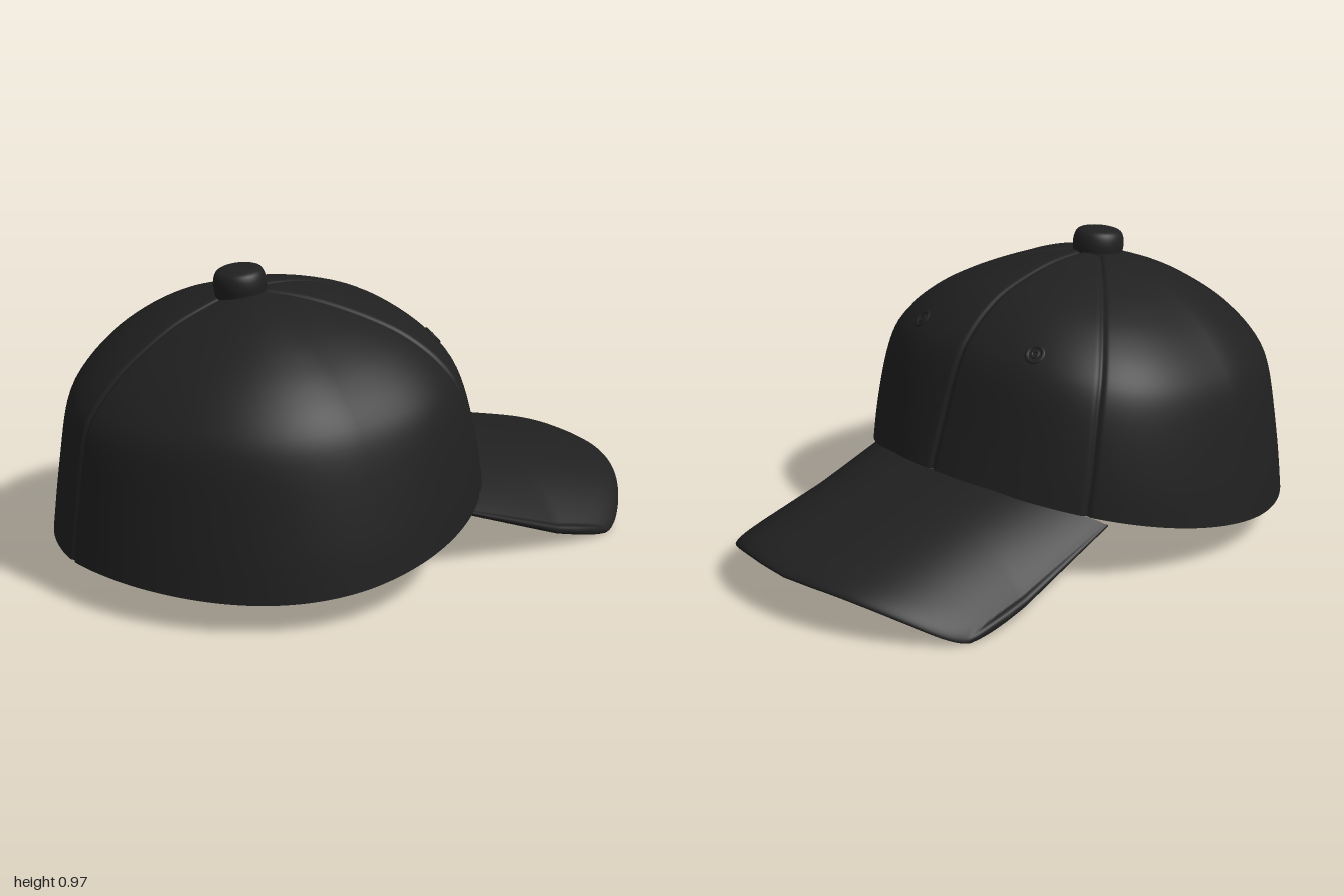
import * as THREE from 'three';

const material = new THREE.MeshStandardMaterial({ color: 0x202020, side: THREE.DoubleSide });
const { lerp, clamp } = THREE.MathUtils;
const SEAMS = [0, 0.78, -0.78, Math.PI, -Math.PI];

const curve = (...pts) => new THREE.SplineCurve(pts.map(p => new THREE.Vector2(...p)));

// Crown outlines from the apex down to the rim
const front = curve([-0.38, 0.905], [-0.28, 0.91], [-0.15, 0.9], [0, 0.865], [0.1, 0.825], [0.2, 0.75], [0.27, 0.655], [0.35, 0.44], [0.39, 0.325]);
const back = curve([-0.38, 0.905], [-0.46, 0.885], [-0.6, 0.835], [-0.7, 0.78], [-0.8, 0.71], [-0.89, 0.62], [-0.94, 0.53], [-0.97, 0.35], [-1, 0.13]);
const side = curve([0, 0.905], [0.1, 0.9], [0.2, 0.88], [0.3, 0.845], [0.4, 0.795], [0.5, 0.725], [0.585, 0.635], [0.635, 0.53], [0.68, 0.3], [0.7, 0.14]);

// Half of the brim's outer edge, from the tip round the corner
const brimEdge = curve([1, 0], [0.985, 0.14], [0.945, 0.28], [0.88, 0.395], [0.79, 0.49], [0.7, 0.535], [0.58, 0.548]);

// Smooth indexed surface from a rule f(u, v), u and v in 0..1
function surface(f, nu, nv, closed) {
  const pos = [], idx = [];
  const rows = closed ? nu : nu + 1;
  for (let i = 0; i < rows; i++)
    for (let j = 0; j <= nv; j++) pos.push(...f(i / nu, j / nv).toArray());
  for (let i = 0; i < nu; i++)
    for (let j = 0; j < nv; j++) {
      const a = i * (nv + 1) + j, b = ((i + 1) % rows) * (nv + 1) + j;
      idx.push(a, b, a + 1, b, b + 1, a + 1);
    }
  const g = new THREE.BufferGeometry();
  g.setAttribute('position', new THREE.Float32BufferAttribute(pos, 3));
  g.setIndex(idx);
  g.computeVertexNormals();
  return g;
}

// Point on the crown at an angle (0 = over the brim) and a height step t
function crownPoint(angle, t) {
  const c = Math.cos(angle), s = Math.sin(angle);
  const end = (c > 0 ? front : back).getPointAt(t), flank = side.getPointAt(t);
  const cx = lerp(-0.38, -0.31, t);
  // Fuller shoulders beside the front panels, slightly pointed back
  const diagonal = Math.abs(Math.sin(2 * angle));
  const shape = c > 0
    ? 1 + diagonal ** 2 * (0.02 * t + 0.08 * Math.sin(Math.PI * t))
    : 1 + 0.035 * diagonal * c;
  // Rim rises steadily from back to front
  const tilt = 0.0975 * c * (1 - Math.abs(c)) * t ** 4;
  // Stitched groove between panels
  let groove = 0;
  for (const seam of SEAMS) groove += Math.exp(-(((angle - seam) * Math.max(flank.x, 0.05) / 0.009) ** 2));
  const scale = shape * (1 - 0.013 * groove);
  return new THREE.Vector3(
    cx + c * Math.abs(end.x - cx) * scale,
    lerp(flank.y, end.y, c * c) + tilt - 0.009 * groove * (1 - t),
    s * flank.x * scale
  );
}

// Point on the brim: v runs out along the top and back along the underside
function brimPoint(u, v) {
  const k = Math.sin((u - 0.5) * Math.PI);
  const w = Math.sin(Math.PI * v);
  const edge = brimEdge.getPointAt(Math.abs(k));
  const x = lerp(-0.31 + 0.69 * Math.cos(k * 0.88), edge.x, w);
  const z = lerp(0.69 * Math.sin(k * 0.88), Math.sign(k) * edge.y, w);
  // Sides curl down, more so away from the crown
  const drop = lerp(0.17, 0.222, clamp((x - 0.13) / 0.37, 0, 1));
  const curl = drop * (Math.min(Math.abs(z), 0.525) / 0.545) ** 3;
  const mid = 0.3 - 0.25 * (x - 0.39) - curl;
  const half = 0.02 * Math.sqrt(Math.max(0, (1 - w ** 16) * (1 - k ** 12)));
  return new THREE.Vector3(x, mid + (v < 0.5 ? half : -half), z);
}

export function createModel() {
  const cap = new THREE.Group();
  cap.name = 'cap';
  const add = (name, geometry, parent = cap) => {
    const mesh = new THREE.Mesh(geometry, material);
    mesh.name = name;
    parent.add(mesh);
    return mesh;
  };

  add('crown', surface((u, v) => crownPoint((u * 2 - 1) * Math.PI, v), 720, 44, true));
  add('brim', surface(brimPoint, 100, 80, false));

  // Button on top, tipped slightly backward
  const profile = [[0, 0.095], [0.04, 0.093], [0.068, 0.085], [0.08, 0.07], [0.085, 0.045], [0.083, 0.02], [0.075, 0], [0, 0]];
  const button = add('topButton', new THREE.LatheGeometry(curve(...profile).getPoints(32), 40));
  button.position.set(-0.375, 0.885, 0);
  button.rotation.z = 0.1;

  // Stitched eyelets on the two front panels
  for (const sign of [1, -1]) {
    const angle = sign * 0.43;
    let t = 0.3;
    while (t < 0.9 && crownPoint(angle, t).y > 0.725) t += 0.005;
    const p = crownPoint(angle, t);
    const across = crownPoint(angle + 0.03, t).sub(p);
    const down = crownPoint(angle, t + 0.02).sub(p);
    const eyelet = new THREE.Group();
    eyelet.name = sign > 0 ? 'leftEyelet' : 'rightEyelet';
    eyelet.position.copy(p);
    eyelet.quaternion.setFromUnitVectors(new THREE.Vector3(0, 0, 1), across.cross(down).normalize());
    eyelet.scale.z = 0.6;
    add('eyeletRim', new THREE.TorusGeometry(0.027, 0.007, 10, 32), eyelet);
    add('eyeletHole', new THREE.TorusGeometry(0.011, 0.005, 8, 24), eyelet);
    cap.add(eyelet);
  }
  return cap;
}
